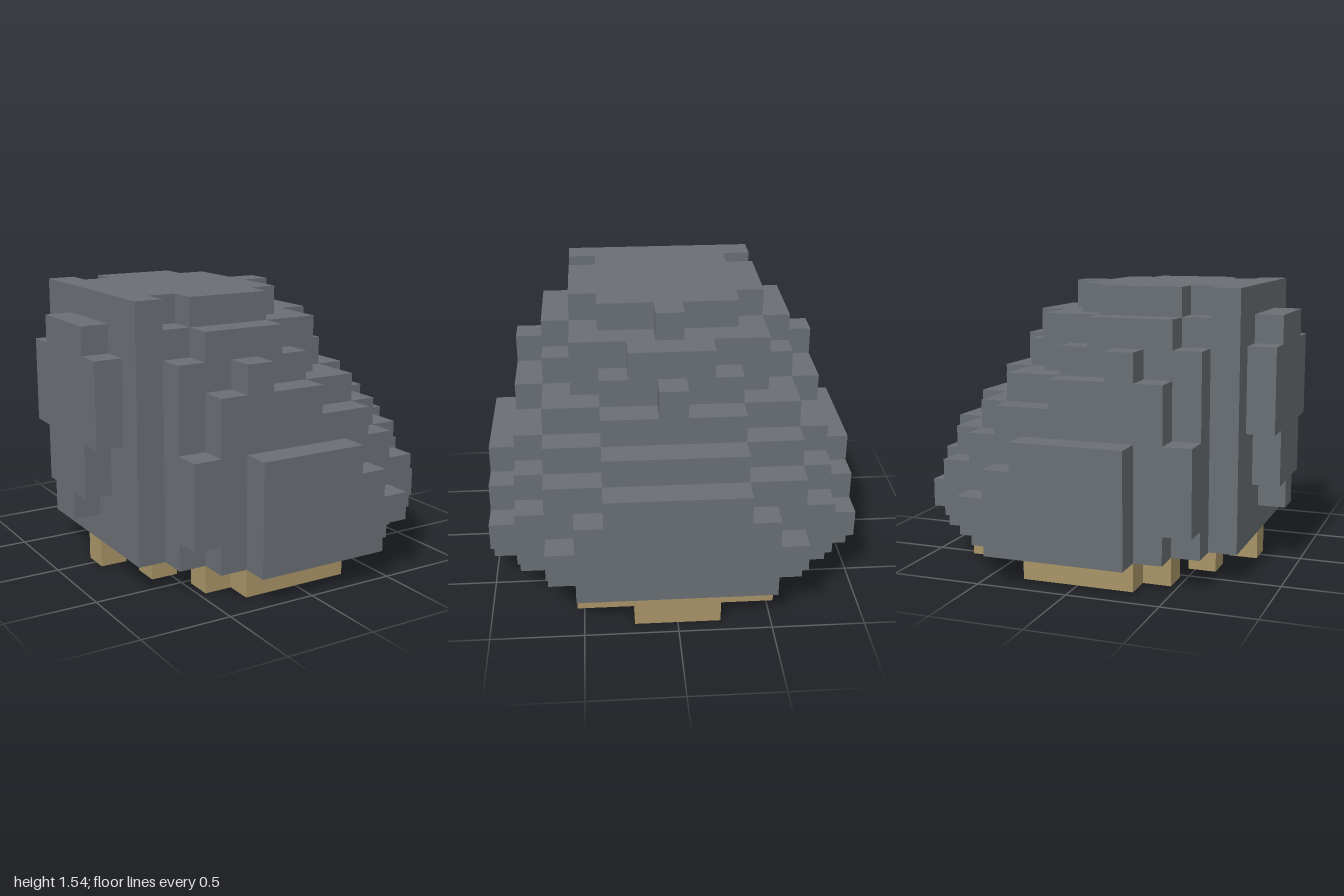
import * as THREE from 'three';
import { mergeGeometries } from 'three/addons/utils/BufferGeometryUtils.js';

const U = 2 / 13; // size of one block

// Body tiers from the crown down, each one block lower: runs of [first i, last i, half width]
const TIERS = [
  [[1, 1, 3], [2, 6, 2], [3, 5, 3], [7, 7, 0]],
  [[2, 7, 3], [3, 5, 4], [8, 8, 1]],
  [[2, 6, 4], [4, 4, 5], [8, 8, 2], [9, 9, 0]],
  [[7, 8, 4], [9, 9, 2], [3, 6, 5]],
  [[7, 8, 5], [9, 9, 4], [10, 10, 2]],
  [[4, 7, 6], [9, 9, 5], [10, 10, 4], [11, 11, 2]],
  [[8, 8, 6], [11, 11, 3]],
];

// Rounded end plate and raised corners: [i, bottom, top, half width]
const RAISED = [
  [0, 2, 9, 0], [0, 3, 9, 1], [0, 5, 8, 2],
  [2, 2, 5, 5], [10, 2, 4, 5], [9, 2, 3, 6], [11, 2, 3, 4],
];

// Shallow hollow underneath, two blocks deep: [first i, last i, half width]
const HOLLOW = [[2, 2, 1], [3, 6, 3], [7, 8, 2]];

// Rim blocks, mirrored across the middle: [first i, last i, first k, last k]
const RIM_ENDS = [[11, 11, -1, 1], [1, 1, 0, 0]];
const RIM_SIDES = [[10, 10, 2, 3], [4, 7, 5, 5], [3, 3, 4, 4], [2, 2, 2, 2]];
const RIM = [...RIM_ENDS, ...RIM_SIDES, ...RIM_SIDES.map(([a, b, c, d]) => [a, b, -d, -c])];

const inRuns = (runs, i, k) =>
  runs.some(([a, b, half]) => i >= a && i <= b && Math.abs(k) <= half);

function solid(i, j, k) {
  if (j < 1 || (j < 3 && inRuns(HOLLOW, i, k))) return false;
  return TIERS.some((runs, t) => j < 10 - t && inRuns(runs, i, k)) ||
    RAISED.some(([a, lo, hi, half]) => j >= lo && j < hi && inRuns([[a, a, half]], i, k));
}

// One square face for each block side that touches air
function shellGeometry() {
  const sides = [];
  for (let axis = 0; axis < 3; axis++) for (const sign of [-1, 1]) {
    const dir = new THREE.Vector3().setComponent(axis, sign);
    sides.push({ dir, face: new THREE.PlaneGeometry(U, U).translate(0, 0, U / 2).lookAt(dir) });
  }
  const parts = [];
  for (let i = 0; i < 12; i++) for (let j = 1; j < 10; j++) for (let k = -6; k <= 6; k++) {
    if (!solid(i, j, k)) continue;
    for (const { dir, face } of sides) {
      if (solid(i + dir.x, j + dir.y, k + dir.z)) continue;
      parts.push(face.clone().translate((i - 5.5) * U, (j + 0.5) * U, k * U));
    }
  }
  return mergeGeometries(parts);
}

export function createModel() {
  const grey = new THREE.MeshStandardMaterial({ color: 0x6a6f74 });
  grey.name = 'slate grey';
  const tan = new THREE.MeshStandardMaterial({ color: 0xa89467 });
  tan.name = 'tan';

  const model = new THREE.Group();
  model.name = 'blockShell';

  const shell = new THREE.Mesh(shellGeometry(), grey);
  shell.name = 'shell';
  model.add(shell);

  // Broken ring of blocks the shell stands on
  const rim = new THREE.Group();
  rim.name = 'rim';
  for (const [a, b, c, d] of RIM) {
    const block = new THREE.Mesh(new THREE.BoxGeometry((b - a + 1) * U, U, (d - c + 1) * U), tan);
    block.position.set(((a + b) / 2 - 5.5) * U, U / 2, ((c + d) / 2) * U);
    block.name = 'rimBlock';
    rim.add(block);
  }
  model.add(rim);
  return model;
}
